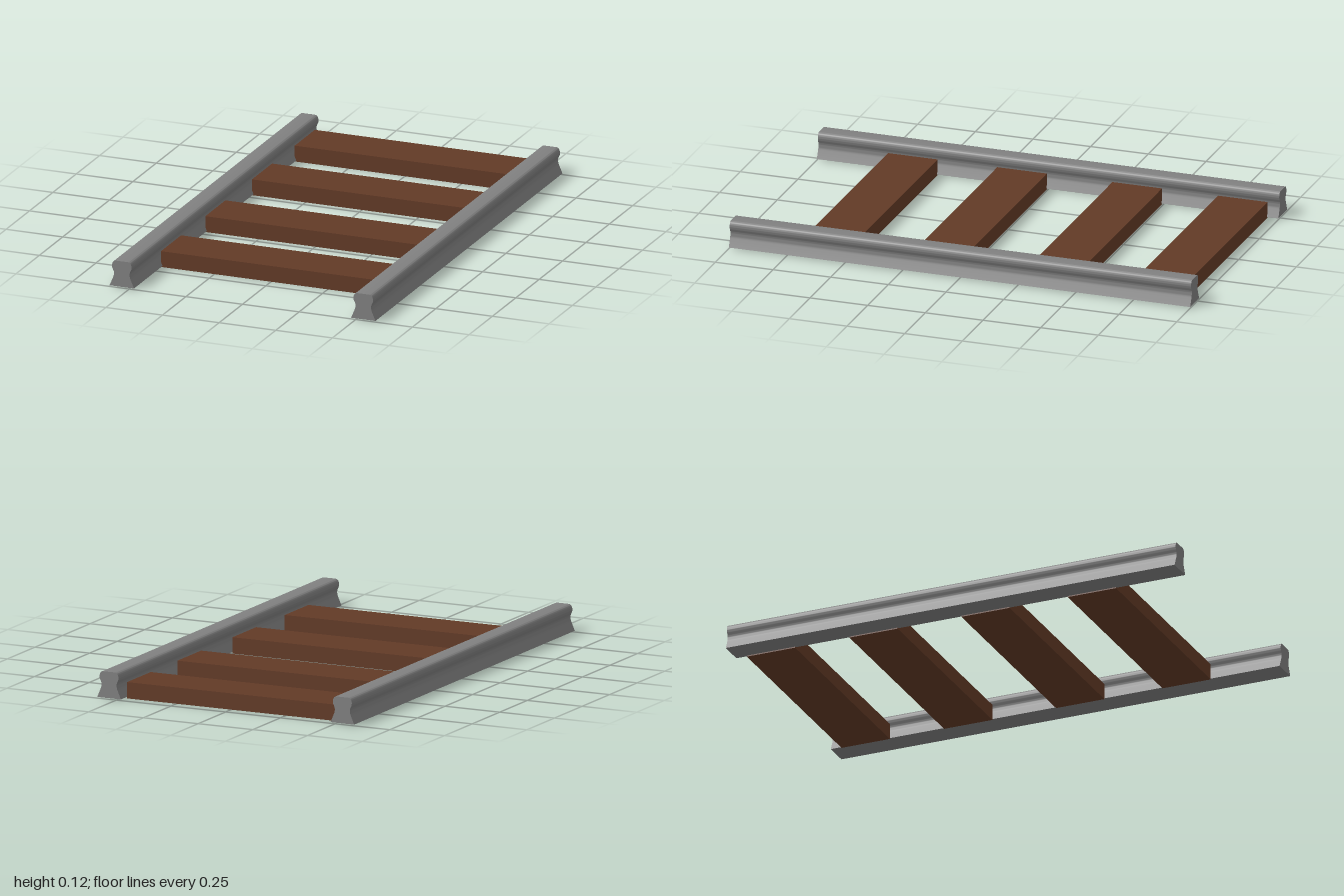
import * as THREE from 'three';
import { toCreasedNormals } from 'three/addons/utils/BufferGeometryUtils.js';

const steel = new THREE.MeshStandardMaterial({ color: 0x808080 });
const wood = new THREE.MeshStandardMaterial({ color: 0x623a26 });

// Rail cross-section: flared foot, pinched waist, rounded head
function railProfile() {
  const s = new THREE.Shape();
  s.moveTo(-0.054, 0.005);
  s.lineTo(0.054, 0.005);
  s.lineTo(0.039, 0.04);
  s.bezierCurveTo(0.033, 0.054, 0.033, 0.066, 0.038, 0.075);
  s.bezierCurveTo(0.044, 0.085, 0.044, 0.094, 0.042, 0.101);
  s.bezierCurveTo(0.039, 0.111, 0.034, 0.115, 0.026, 0.115);
  s.lineTo(-0.026, 0.115);
  s.bezierCurveTo(-0.034, 0.115, -0.039, 0.111, -0.042, 0.101);
  s.bezierCurveTo(-0.044, 0.094, -0.044, 0.085, -0.038, 0.075);
  s.bezierCurveTo(-0.033, 0.066, -0.033, 0.054, -0.039, 0.04);
  s.closePath();
  return s;
}

export function createModel() {
  const track = new THREE.Group();
  track.name = 'railTrack';

  // Two rails running the full length
  const extruded = new THREE.ExtrudeGeometry(railProfile(), {
    depth: 2, bevelEnabled: false, curveSegments: 8,
  });
  extruded.translate(0, 0, -1);
  const railGeometry = toCreasedNormals(extruded, 0.6);
  for (const [name, x] of [['leftRail', 0.533], ['rightRail', -0.533]]) {
    const rail = new THREE.Mesh(railGeometry, steel);
    rail.name = name;
    rail.position.x = x;
    track.add(rail);
  }

  // Wooden sleepers, slightly unevenly spaced
  const sleeperGeometry = new THREE.BoxGeometry(0.962, 0.068, 0.215);
  [-0.843, -0.386, 0.113, 0.587].forEach((z, i) => {
    const sleeper = new THREE.Mesh(sleeperGeometry, wood);
    sleeper.name = `sleeper${i + 1}`;
    sleeper.position.set(-0.005, 0.034, z);
    track.add(sleeper);
  });

  return track;
}
